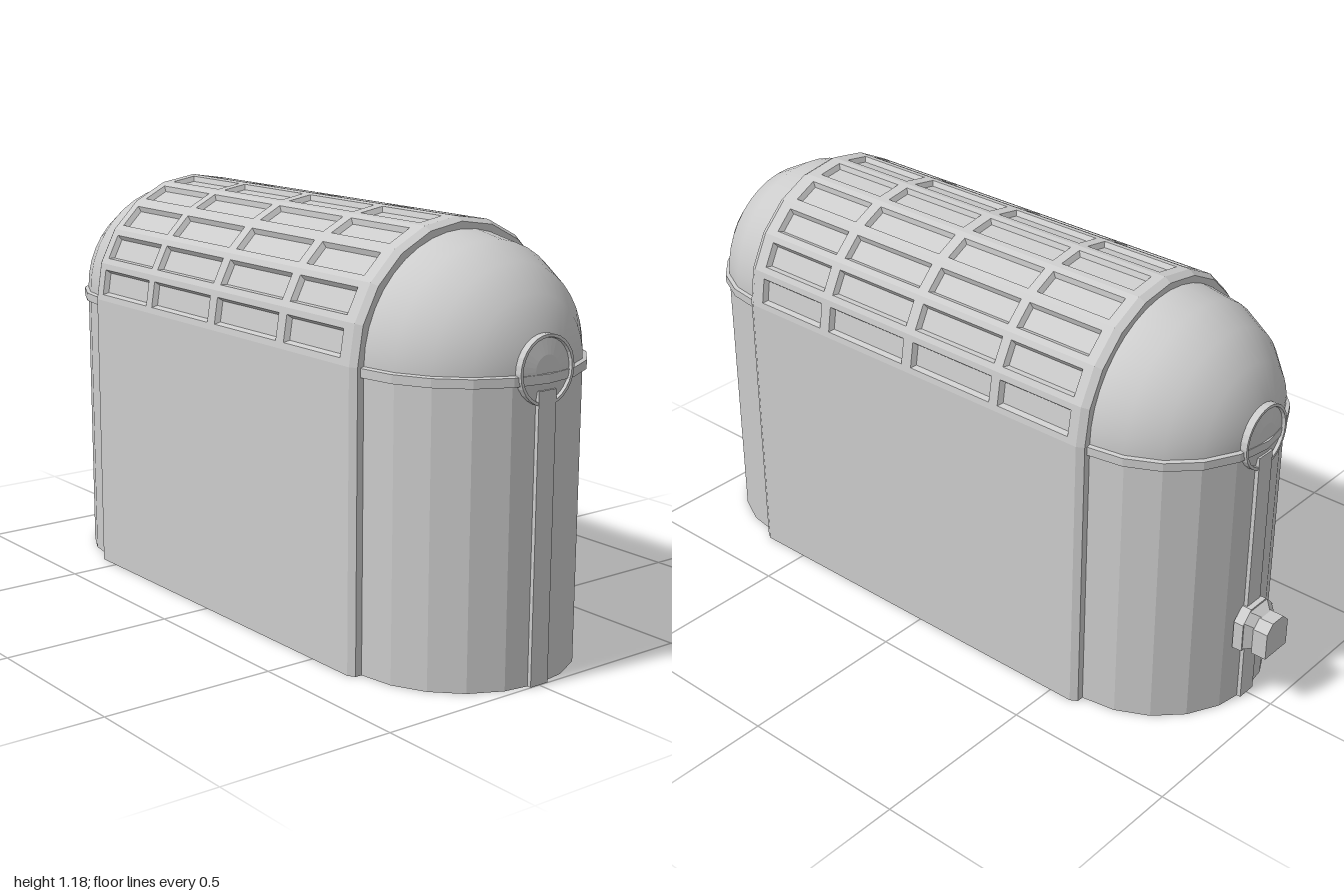
import * as THREE from 'three';

const flat = new THREE.MeshStandardMaterial({ color: 0xcccccc, flatShading: true, side: THREE.DoubleSide });
const smooth = new THREE.MeshStandardMaterial({ color: 0xcccccc, side: THREE.DoubleSide });

const R = 0.354, SPRING = 0.824, SEGMENTS = 10;
const FRONT = 0.67, BACK = -0.59, CHAMFER = 0.02;

function add(parent, name, geometry, x = 0, y = 0, z = 0, material = flat) {
  const mesh = new THREE.Mesh(geometry, material);
  mesh.name = name;
  mesh.position.set(x, y, z);
  parent.add(mesh);
  return mesh;
}

// Surface through a list of cross-sections with equal point counts
function loft(sections) {
  const n = sections[0].length, index = [];
  for (let s = 0; s < sections.length - 1; s++) {
    for (let i = 0; i < n - 1; i++) {
      const a = s * n + i, b = a + n;
      index.push(a, b, a + 1, b, b + 1, a + 1);
    }
  }
  const g = new THREE.BufferGeometry();
  g.setAttribute('position', new THREE.Float32BufferAttribute(sections.flat(2), 3));
  g.setIndex(index);
  g.computeVertexNormals();
  return g;
}

// Upright walls with a faceted arch above, at a given half width and depth
function archSection(r, z) {
  const points = [[r, 0, z]];
  for (let i = 0; i <= SEGMENTS; i++) {
    const a = i * Math.PI / SEGMENTS;
    points.push([r * Math.cos(a), SPRING + r * Math.sin(a), z]);
  }
  points.push([-r, 0, z]);
  return points;
}

function rectangle(w, d, z) {
  return [[-w, -d, z], [w, -d, z], [w, d, z], [-w, d, z], [-w, -d, z]];
}

// One flat strip of the roof with four sunken panels
function roofStrip() {
  const strip = new THREE.Group();
  strip.name = 'roofStrip';
  const half = R * Math.sin(Math.PI / SEGMENTS / 2);
  const w = 0.0375, inset = 0.008, depth = -0.014;
  const z0 = BACK + CHAMFER, z1 = FRONT - CHAMFER;
  const shape = new THREE.Shape([
    new THREE.Vector2(-half, z0), new THREE.Vector2(half, z0),
    new THREE.Vector2(half, z1), new THREE.Vector2(-half, z1)]);
  for (const [a, b] of [[-0.54, -0.30], [-0.27, 0.015], [0.05, 0.335], [0.37, 0.61]]) {
    shape.holes.push(new THREE.Path([
      new THREE.Vector2(-w, a), new THREE.Vector2(-w, b),
      new THREE.Vector2(w, b), new THREE.Vector2(w, a)]));
    const d = (b - a) / 2;
    add(strip, 'panelEdge', loft([
      rectangle(w - inset, d - inset, depth), rectangle(w, d, 0)]), 0, (a + b) / 2, 0);
    add(strip, 'sunkenPanel', new THREE.PlaneGeometry(2 * (w - inset), 2 * (d - inset)), 0, (a + b) / 2, depth);
  }
  add(strip, 'roofSkin', new THREE.ShapeGeometry(shape));
  return strip;
}

// Rounded end: half-round wall, quarter-sphere dome, band, rib and round boss
function roundedEnd(name) {
  const end = new THREE.Group();
  end.name = name;
  const r = 0.322;
  add(end, 'endWall', new THREE.CylinderGeometry(r, r, SPRING, SEGMENTS, 1, true, -Math.PI / 2, Math.PI),
    0, SPRING / 2, 0);
  const dome = new THREE.SphereGeometry(r, 2 * SEGMENTS, 5, Math.PI, Math.PI, 0, Math.PI / 2);
  dome.rotateX(Math.PI / 2);
  add(end, 'endDome', dome, 0, SPRING, 0, smooth);

  const bandProfile = [[0.312, 0.798], [0.333, 0.798], [0.333, 0.822], [0.312, 0.828]]
    .map(p => new THREE.Vector2(...p));
  add(end, 'band', new THREE.LatheGeometry(bandProfile, SEGMENTS, -Math.PI / 2, Math.PI));
  add(end, 'centreRib', new THREE.BoxGeometry(0.06, 0.78, 0.03), 0, 0.39, 0.314);

  // Raised rim around a shallow domed disc
  const bossProfile = [[0, 0.328], [0.04, 0.326], [0.082, 0.318], [0.084, 0.327], [0.092, 0.327], [0.092, 0.27]]
    .map(p => new THREE.Vector2(...p));
  const boss = new THREE.LatheGeometry(bossProfile, 28);
  boss.rotateX(Math.PI / 2);
  add(end, 'roundBoss', boss, 0, 0.83, 0);
  return end;
}

// Small block with clipped upper corners, used for the rear spout
function clippedBlock(w, h, clip, depth) {
  const s = new THREE.Shape([[-w, 0], [w, 0], [w, h - clip], [w - clip, h], [clip - w, h], [-w, h - clip]]
    .map(p => new THREE.Vector2(...p)));
  return new THREE.ExtrudeGeometry(s, { depth, bevelEnabled: false });
}

export function createModel() {
  const model = new THREE.Group();
  model.name = 'domedBox';

  // Long side walls
  const length = FRONT - BACK - 2 * CHAMFER, middle = (FRONT + BACK) / 2;
  for (const side of [-1, 1]) {
    const wall = add(model, side > 0 ? 'leftWall' : 'rightWall',
      new THREE.PlaneGeometry(length, SPRING), side * R, SPRING / 2, middle);
    wall.rotation.y = side * Math.PI / 2;
  }

  // Faceted roof
  const roof = new THREE.Group();
  roof.name = 'roof';
  const apothem = R * Math.cos(Math.PI / SEGMENTS / 2);
  for (let i = 0; i < SEGMENTS; i++) {
    const a = (i + 0.5) * Math.PI / SEGMENTS;
    const strip = roofStrip();
    strip.position.set(apothem * Math.cos(a), SPRING + apothem * Math.sin(a), 0);
    const across = new THREE.Vector3(Math.sin(a), -Math.cos(a), 0);
    const along = new THREE.Vector3(0, 0, 1);
    const out = new THREE.Vector3().crossVectors(across, along);
    // Keep the outward axis pointing away from the arch centre
    if (out.dot(strip.position.clone().setY(strip.position.y - SPRING)) < 0) {
      across.negate();
      out.negate();
    }
    strip.quaternion.setFromRotationMatrix(new THREE.Matrix4().makeBasis(across, along, out));
    roof.add(strip);
  }
  model.add(roof);

  // Chamfered arch rims at both ends of the body
  add(model, 'frontRim', loft([
    archSection(R, FRONT - CHAMFER), archSection(R - 0.012, FRONT), archSection(0.312, FRONT)]));
  add(model, 'backRim', loft([
    archSection(0.312, BACK), archSection(R - 0.012, BACK), archSection(R, BACK + CHAMFER)]));

  // Rounded ends
  const front = roundedEnd('frontEnd');
  front.position.z = FRONT;
  const back = roundedEnd('backEnd');
  back.position.z = BACK;
  back.rotation.y = Math.PI;
  model.add(front, back);

  // Rear spout: mounting plate, tapering neck and outlet block
  const spout = new THREE.Group();
  spout.name = 'rearSpout';
  add(spout, 'spoutPlate', clippedBlock(0.07, 0.12, 0.035, 0.03), 0, 0.19, -0.935);
  const neck = (w, y0, y1, z) => [[-w, y0, z], [w, y0, z], [w, y1 - 0.025, z], [w - 0.025, y1, z],
    [0.025 - w, y1, z], [-w, y1 - 0.025, z], [-w, y0, z]];
  add(spout, 'spoutNeck', loft([neck(0.04, 0.2, 0.285, -0.965), neck(0.066, 0.195, 0.305, -0.935)]));
  add(spout, 'spoutOutlet', clippedBlock(0.05, 0.105, 0.025, 0.045), 0, 0.183, -1.0);
  model.add(spout);

  return model;
}
